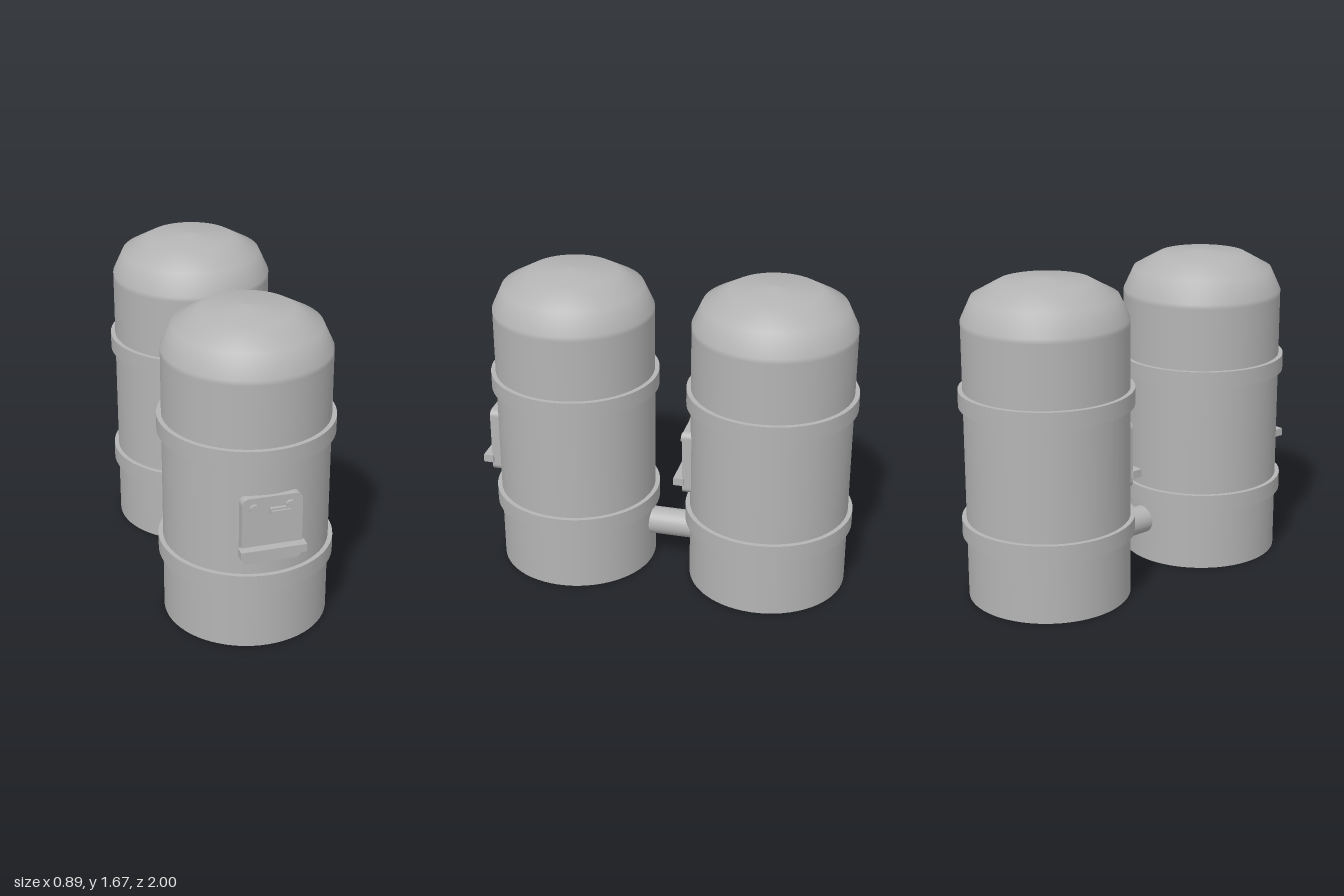
import * as THREE from 'three';

const grey = new THREE.MeshStandardMaterial({ color: 0xb4b4b4 });
grey.name = 'tank grey';

function add(parent, name, geometry, x = 0, y = 0, z = 0) {
  const mesh = new THREE.Mesh(geometry, grey);
  mesh.name = name;
  mesh.position.set(x, y, z);
  parent.add(mesh);
  return mesh;
}

// Control panel; local z = 0 is the tank axis
function createPanel() {
  const panel = new THREE.Group();
  panel.name = 'controlPanel';

  // Rounded backing plate
  const w = 0.153, b = 0.505, t = 0.865, r = 0.035;
  const s = new THREE.Shape();
  s.moveTo(-w + r, b);
  s.lineTo(w - r, b);
  s.absarc(w - r, b + r, r, -Math.PI / 2, 0);
  s.lineTo(w, t - r);
  s.absarc(w - r, t - r, r, 0, Math.PI / 2);
  s.lineTo(-w + r, t);
  s.absarc(-w + r, t - r, r, Math.PI / 2, Math.PI);
  s.lineTo(-w, b + r);
  s.absarc(-w + r, b + r, r, Math.PI, Math.PI * 1.5);
  add(panel, 'panelPlate', new THREE.ExtrudeGeometry(s, { depth: 0.055, bevelEnabled: false, curveSegments: 6 }), 0, 0, 0.388);

  // Corner bolts
  const bolt = new THREE.CylinderGeometry(0.025, 0.025, 0.025, 20).rotateX(Math.PI / 2);
  for (const x of [-0.092, 0.09])
    for (const y of [0.81, 0.563]) add(panel, 'bolt', bolt, x, y, 0.447);

  // Latch and bottom ledge
  add(panel, 'latchBase', new THREE.BoxGeometry(0.105, 0.033, 0.018), 0.037, 0.79, 0.45);
  add(panel, 'latchBar', new THREE.BoxGeometry(0.095, 0.012, 0.014), 0.037, 0.79, 0.462);
  add(panel, 'ledge', new THREE.BoxGeometry(0.333, 0.042, 0.055), -0.002, 0.579, 0.4605);
  return panel;
}

function createTank() {
  const tank = new THREE.Group();
  tank.name = 'tank';

  // Shell with a domed top
  const profile = [[0.423, 0], [0.423, 1.44], [0.423, 1.465], [0.37, 1.58], [0.235, 1.655], [0, 1.675]];
  add(tank, 'shell', new THREE.LatheGeometry(profile.map(([x, y]) => new THREE.Vector2(x, y)), 64));
  add(tank, 'base', new THREE.CircleGeometry(0.423, 64).rotateX(Math.PI / 2));

  // Hoops
  const hoop = new THREE.CylinderGeometry(0.447, 0.447, 0.088, 64);
  for (const y of [0.383, 1.068]) add(tank, 'hoop', hoop, 0, y, 0);

  tank.add(createPanel());
  return tank;
}

export function createModel() {
  const model = new THREE.Group();
  model.name = 'twinTanks';
  for (const [name, z] of [['frontTank', 0.512], ['rearTank', -0.553]]) {
    const tank = createTank();
    tank.name = name;
    tank.position.z = z;
    model.add(tank);
  }
  // Pipe joining the tanks
  add(model, 'connectingPipe', new THREE.CylinderGeometry(0.075, 0.075, 0.27, 32).rotateX(Math.PI / 2), 0, 0.23, -0.02);
  return model;
}
